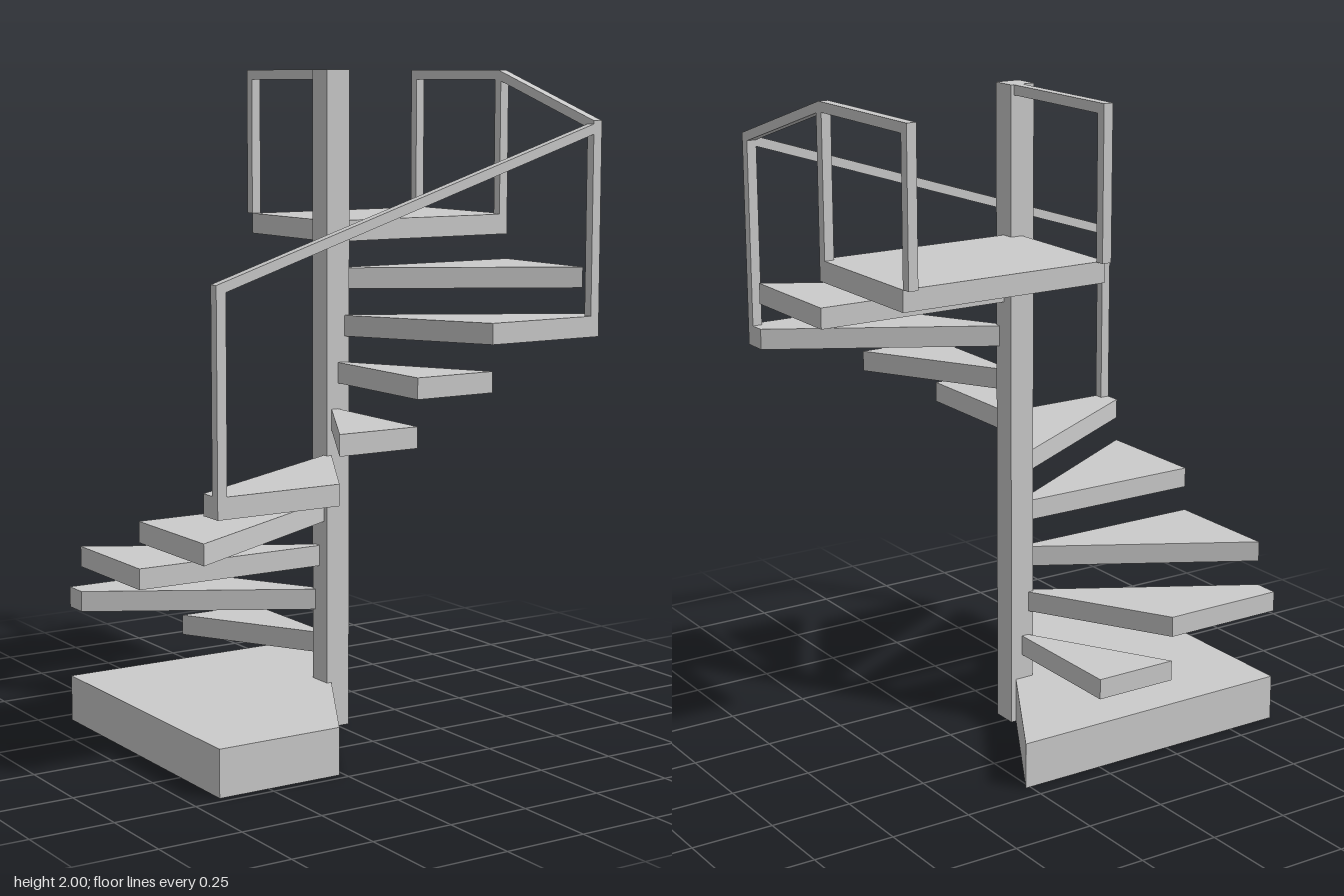
import * as THREE from 'three';

const HW = 0.66, HD = 0.46, CZ = 0.015;   // half width / half depth of the stairwell, post centre z
const BAR = 0.03;                         // handrail bar thickness
const RISE = 0.141, THICK = 0.063;
const rad = THREE.MathUtils.degToRad;

export function createModel() {
  const group = new THREE.Group();
  const material = new THREE.MeshStandardMaterial({ color: 0xcccccc, flatShading: true });

  const add = (name, geometry, x = 0, y = 0, z = 0) => {
    const mesh = new THREE.Mesh(geometry, material);
    mesh.name = name;
    mesh.position.set(x, y, z);
    group.add(mesh);
  };
  const extrude = (points, depth) => new THREE.ExtrudeGeometry(
    new THREE.Shape(points.map(([x, y]) => new THREE.Vector2(x, y))),
    { depth, bevelEnabled: false });

  // Point on the rectangular outline; angle runs from the back towards -x
  const rim = (deg) => {
    const dx = -Math.sin(rad(deg)), dz = -Math.cos(rad(deg));
    const t = Math.min(HW / Math.max(Math.abs(dx), 1e-9), HD / Math.max(Math.abs(dz), 1e-9));
    return [dx * t, dz * t];
  };
  const corner = THREE.MathUtils.radToDeg(Math.atan2(HW, HD));
  const corners = [corner, 180 - corner, 180 + corner, 360 - corner];

  // Slab between two angles, clipped to the rectangle
  const wedge = (name, from, to, top, thick) => {
    const between = corners.filter((c) => c > from && c < to);
    const points = [[0, 0], ...[from, ...between, to].map(rim)];
    add(name, extrude(points, thick).rotateX(Math.PI / 2), 0, top, CZ);
  };

  // Base, nine winding treads, top landing
  wedge('base', -30, 150, RISE, RISE);
  for (let i = 1; i <= 9; i++) wedge(`tread${i}`, 30 * (i - 1), 30 * i, RISE * (i + 1), THICK);
  const landingTop = RISE * 11;
  wedge('landing', 270, 360, landingTop, THICK);

  // Central post
  add('centrePost', new THREE.BoxGeometry(0.08, 2, 0.08), 0, 1, CZ);

  // Rail posts: centre x, centre z, bottom, top
  const railX = HW - BAR / 2, frontZ = CZ + HD - BAR / 2, backZ = CZ - HD - BAR / 2;
  [
    [-railX, frontZ, RISE * 6, 1.41],
    [railX, frontZ, RISE * 9, 1.83],
    [railX, 0, landingTop, 1.98],
    [railX, backZ, landingTop, 1.98],
    [BAR / 2, backZ, landingTop, 1.98],
  ].forEach(([x, z, y0, y1]) =>
    add('railPost', new THREE.BoxGeometry(BAR, y1 - y0, BAR), x, (y0 + y1) / 2, z));

  // Front handrail, sloping along x
  const bar = (a, y0, b, y1) =>
    extrude([[a, y0 - BAR], [b, y1 - BAR], [b, y1], [a, y0]], BAR);
  add('frontHandrail', bar(-HW, 1.425, HW, 1.85), 0, 0, frontZ - BAR / 2);

  // Side handrails along z: slope up to the landing, then level; inner rail starts at the post
  const zBar = (...profile) => bar(...profile).rotateY(-Math.PI / 2);
  add('sideHandrail', zBar(0, 2, frontZ + BAR / 2, 1.85), HW);
  add('landingOuterRail', zBar(backZ - BAR / 2, 2, 0, 2), HW);
  add('landingInnerRail', zBar(backZ - BAR / 2, 2, 0, 2), BAR);

  return group;
}
